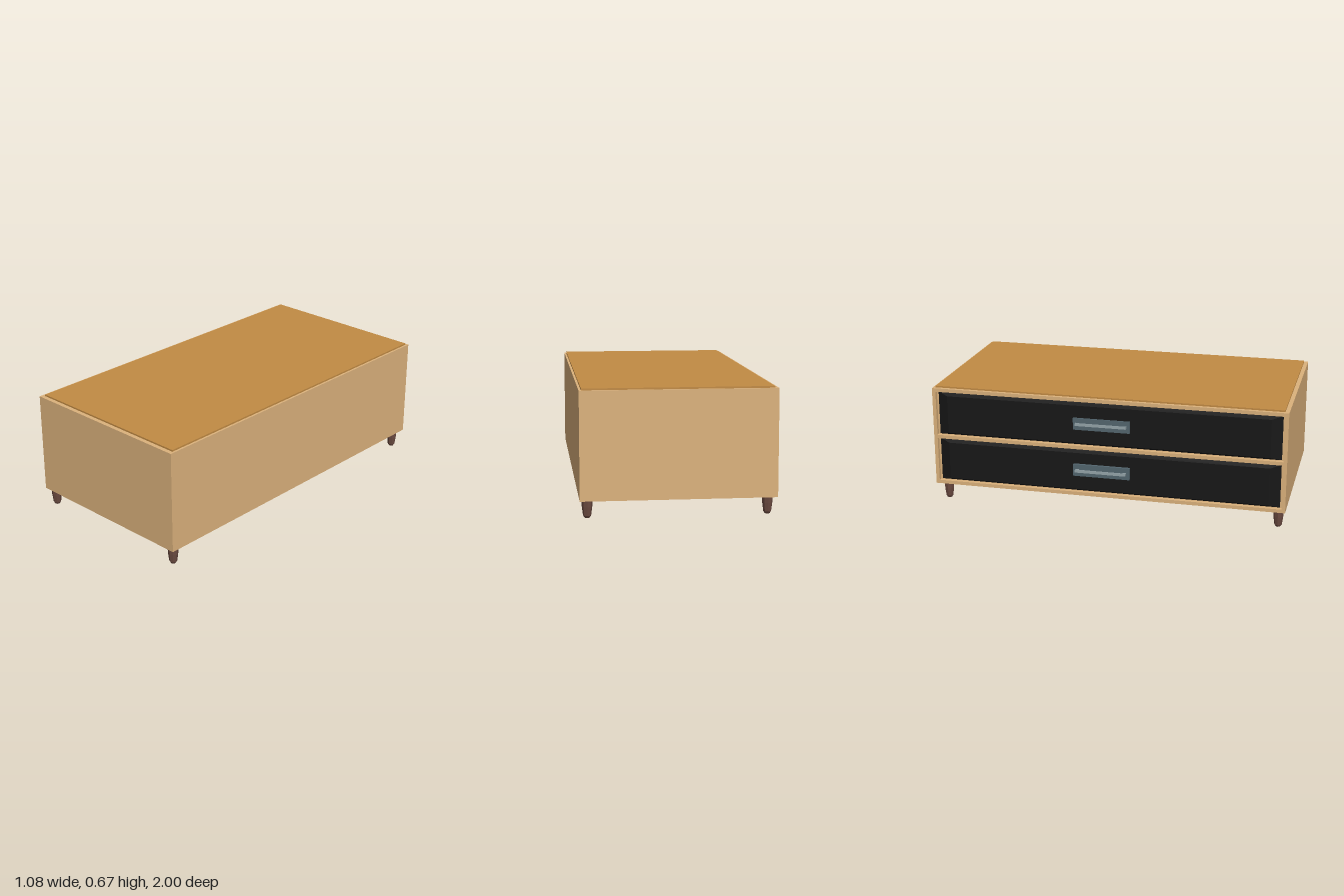
import * as THREE from 'three';

const mat = (color) => new THREE.MeshStandardMaterial({ color, flatShading: true });

function addMesh(parent, name, geometry, material) {
  const mesh = new THREE.Mesh(geometry, material);
  mesh.name = name;
  parent.add(mesh);
  return mesh;
}

// Box given by its minimum and maximum on each axis
function span(x0, x1, y0, y1, z0, z1) {
  return new THREE.BoxGeometry(x1 - x0, y1 - y0, z1 - z0)
    .translate((x0 + x1) / 2, (y0 + y1) / 2, (z0 + z1) / 2);
}

// Drawer panel whose outer face is smaller than its base
function drawerPanel(y0, y1) {
  const geometry = span(-0.493, -0.46, y0, y1, -0.98, 0.98);
  const p = geometry.attributes.position;
  const mid = (y0 + y1) / 2;
  for (let i = 0; i < p.count; i++) {
    if (p.getX(i) > -0.48) continue;
    p.setY(i, p.getY(i) - Math.sign(p.getY(i) - mid) * 0.02);
    p.setZ(i, p.getZ(i) - Math.sign(p.getZ(i)) * 0.07);
  }
  return geometry;
}

export function createModel() {
  const group = new THREE.Group();
  const wood = mat(0xdcb27c), topWood = mat(0xc28b44), legWood = mat(0x6b4a40);
  const black = mat(0x171717), plateMetal = mat(0x53666f), gripMetal = mat(0x8d9ca1);

  const drawers = [
    { y0: 0.117, y1: 0.37, handleY: 0.255, plateX: -0.508, gripX: -0.538 },
    { y0: 0.39, y1: 0.645, handleY: 0.523, plateX: -0.5, gripX: -0.525 },
  ];

  // Cabinet body with a shallow framed face on the drawer side
  addMesh(group, 'cabinetBody', span(-0.465, 0.537, 0.097, 0.665, -1, 1), wood);
  const rect = (path, a, b, c, d) => path.moveTo(a, c).lineTo(b, c).lineTo(b, d).lineTo(a, d).closePath();
  const frame = rect(new THREE.Shape(), -1, 1, 0.097, 0.665);
  for (const d of drawers) frame.holes.push(rect(new THREE.Path(), -0.98, 0.98, d.y0, d.y1));
  const frameGeo = new THREE.ExtrudeGeometry(frame, { depth: 0.022, bevelEnabled: false });
  frameGeo.rotateY(-Math.PI / 2).translate(-0.465, 0, 0);
  addMesh(group, 'drawerFrame', frameGeo, wood);

  addMesh(group, 'topPanel', span(-0.467, 0.525, 0.66, 0.674, -0.985, 0.977), topWood);

  // Drawers, each with a back plate and a tilted pull
  for (const d of drawers) {
    addMesh(group, 'drawerFront', drawerPanel(d.y0, d.y1), black);
    const handle = new THREE.Group();
    handle.name = 'drawerHandle';
    handle.position.set(d.plateX, d.handleY, -0.02);
    group.add(handle);
    addMesh(handle, 'handlePlate', span(0, 0.025, -0.035, 0.033, -0.16, 0.16), plateMetal);
    const reach = d.gripX - d.plateX;
    const pull = new THREE.Group();
    pull.name = 'handlePull';
    pull.rotation.z = -0.12;
    handle.add(pull);
    addMesh(pull, 'handleGrip', span(reach, reach + 0.013, -0.007, 0.007, -0.143, 0.143), gripMetal);
    for (const s of [-1, 1]) {
      addMesh(pull, 'handlePost', span(reach + 0.008, 0.01, -0.006, 0.006, s * 0.133 - 0.01, s * 0.133 + 0.01), gripMetal);
    }
  }

  // Tapered feet with rounded tips
  const profile = [[0, 0], [0.014, 0.002], [0.021, 0.013], [0.027, 0.06], [0.029, 0.1]]
    .map(([r, y]) => new THREE.Vector2(r, y));
  for (const x of [-0.442, 0.497]) {
    for (const z of [-0.94, 0.96]) {
      addMesh(group, 'leg', new THREE.LatheGeometry(profile, 8), legWood).position.set(x, 0, z);
    }
  }
  return group;
}
